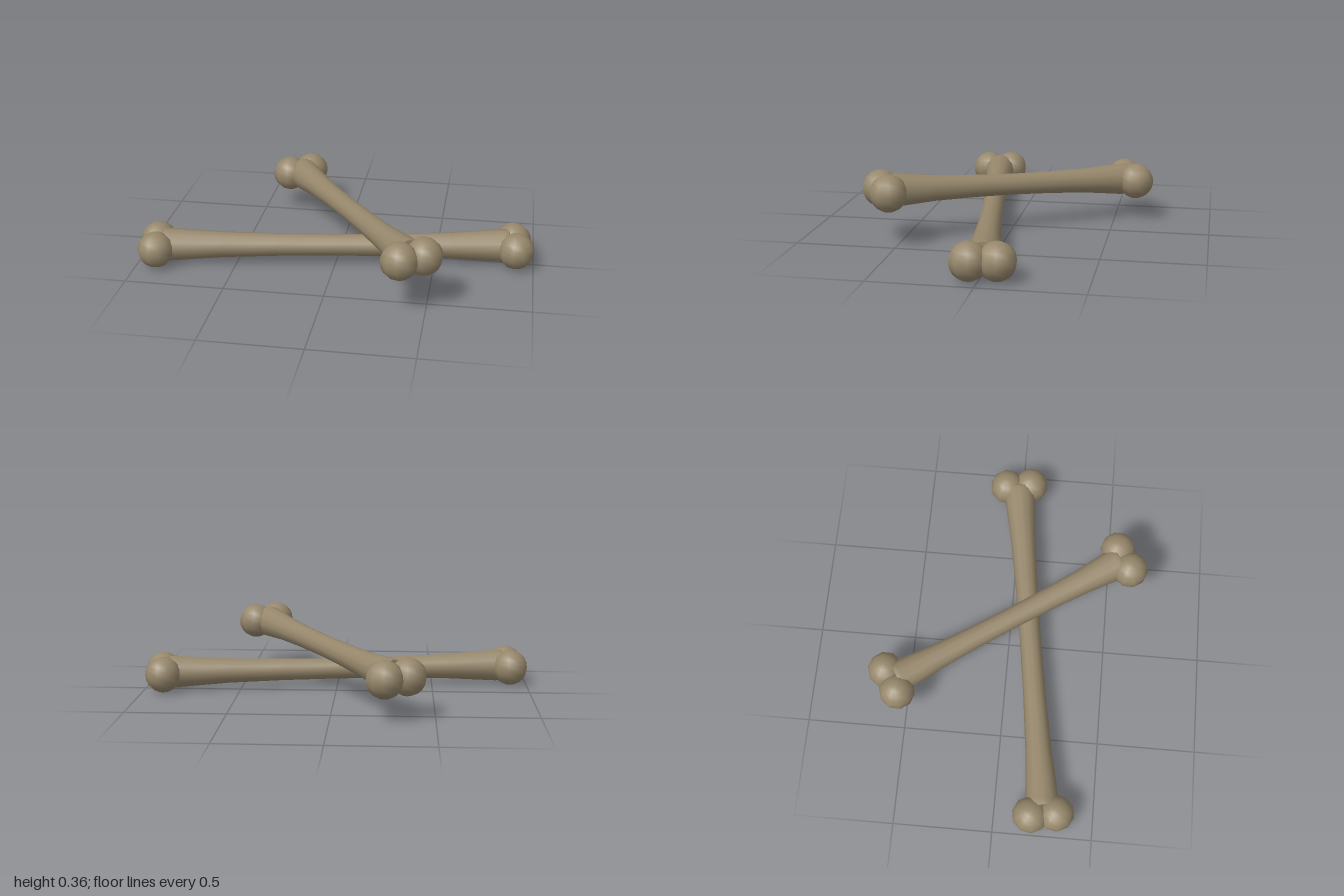
import * as THREE from 'three';

const KNOB_RADIUS = 0.092;
const KNOB_OFFSET = 0.064;

// One bone between the midpoints of its two knob pairs
function createBone(name, start, end, material) {
  const bone = new THREE.Group();
  bone.name = name;

  // Local x runs along the bone, local z is horizontal across it
  const along = end.clone().sub(start);
  const half = along.length() / 2;
  along.normalize();
  const across = new THREE.Vector3().crossVectors(along, new THREE.Vector3(0, 1, 0)).normalize();
  const up = new THREE.Vector3().crossVectors(across, along);
  bone.quaternion.setFromRotationMatrix(new THREE.Matrix4().makeBasis(along, up, across));
  bone.position.copy(start).add(end).multiplyScalar(0.5);

  // Waisted shaft, flared towards both ends
  const tip = half - 0.03;
  const side = [[0.34, 0.058], [0.655, 0.066], [0.96, 0.084], [0.995, 0.084], [1, 0.08], [1, 0]];
  const profile = [
    ...side.map(([t, r]) => new THREE.Vector2(r, -t * tip)).reverse(),
    new THREE.Vector2(0.055, 0),
    ...side.map(([t, r]) => new THREE.Vector2(r, t * tip)),
  ];
  const shaft = new THREE.Mesh(new THREE.LatheGeometry(profile, 12).rotateZ(-Math.PI / 2), material);
  shaft.name = 'shaft';
  bone.add(shaft);

  // Paired knobs at each end
  const knobGeometry = new THREE.SphereGeometry(KNOB_RADIUS, 10, 10);
  for (const x of [-half, half]) {
    for (const z of [-KNOB_OFFSET, KNOB_OFFSET]) {
      const knob = new THREE.Mesh(knobGeometry, material);
      knob.name = 'knob';
      knob.position.set(x, 0, z);
      bone.add(knob);
    }
  }
  return bone;
}

export function createModel() {
  const model = new THREE.Group();
  model.name = 'crossedBones';
  const boneMaterial = new THREE.MeshStandardMaterial({ color: 0x96876b });
  boneMaterial.name = 'bone';

  // Long bone lying flat, shorter bone resting across it
  model.add(
    createBone('lowerBone', new THREE.Vector3(-0.904, 0.095, 0.248), new THREE.Vector3(0.9, 0.095, -0.02), boneMaterial),
    createBone('upperBone', new THREE.Vector3(-0.312, 0.206, -0.572), new THREE.Vector3(0.427, 0.272, 0.565), boneMaterial),
  );
  return model;
}
